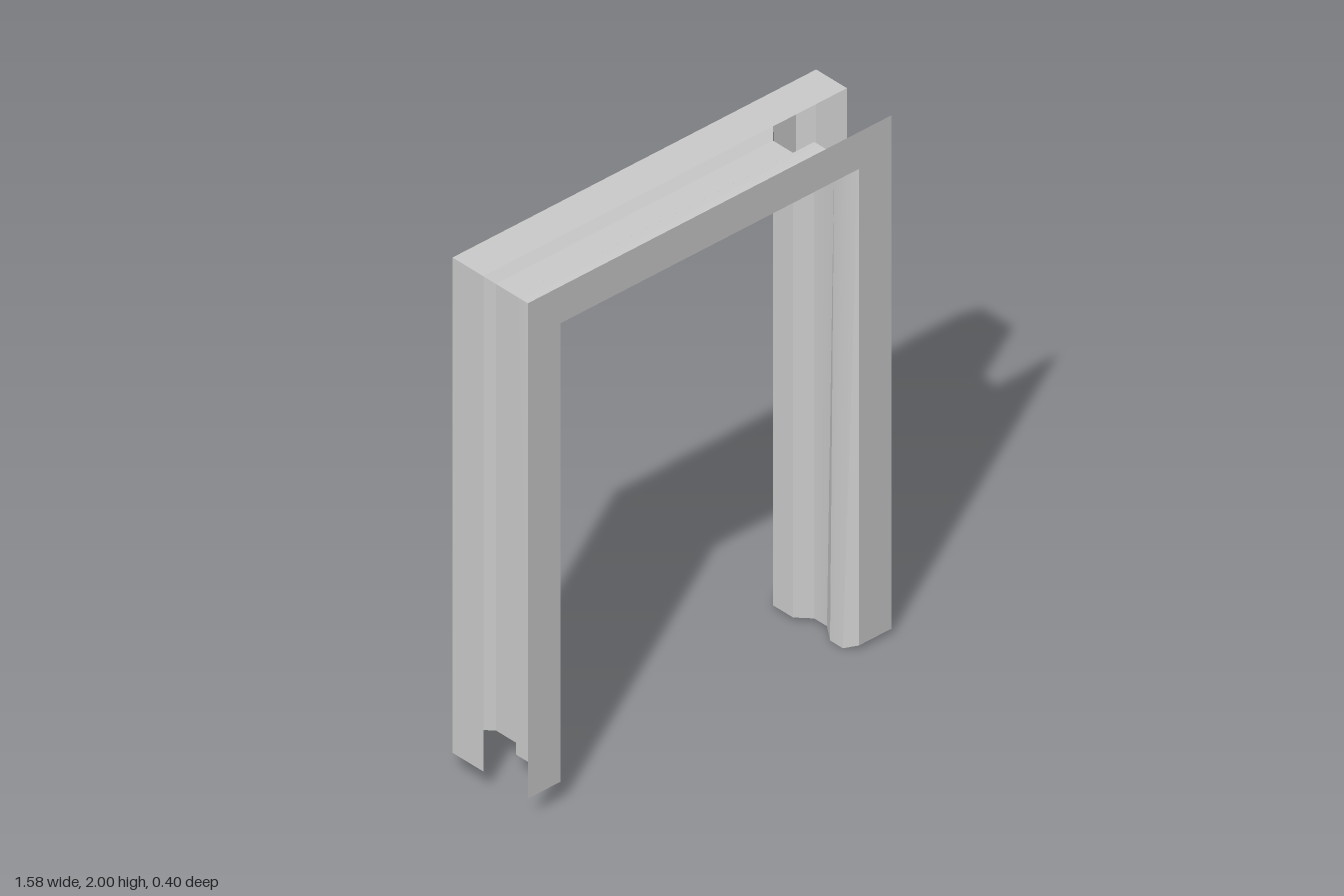
import * as THREE from 'three';
import { toCreasedNormals } from 'three/addons/utils/BufferGeometryUtils.js';

// Open sheet profile: [inset from outer edge, z, 1 where the shallow inner ridge lies]
const PROFILE = [
  [0, 0.2, 0], [0.142, 0.2, 0],              // front flange
  [0.152, 0.155, 1], [0.152, 0.095, 1],      // ridge in the reveal
  [0.142, 0.05, 0], [0.142, -0.01, 0],
  [0.188, -0.06, 0], [0.188, -0.155, 0],     // sloped stop
  [0.142, -0.2, 0], [0.045, -0.2, 0],        // chamfered back face
  [0, -0.155, 0], [0, -0.01, 0],             // outer return
];
const HALF = 0.79, TOP = 2;

// Profile point at the foot of a jamb, where the ridge swells inward and dips
const foot = (side, y) => ([u, z, ridge]) =>
  [side * (HALF - u - ridge * 0.018), y - ridge * 0.02, z];
// Profile point on the mitre of an upper corner
const mitre = (side) => ([u, z]) => [side * (HALF - u), TOP - u, z];

// Sheet joining two stations of the profile
function sweep(name, from, to, material) {
  const pos = [];
  for (let i = 0; i < PROFILE.length - 1; i++) {
    const a = from(PROFILE[i]), b = from(PROFILE[i + 1]);
    const c = to(PROFILE[i + 1]), d = to(PROFILE[i]);
    pos.push(...a, ...b, ...c, ...a, ...c, ...d);
  }
  const geo = new THREE.BufferGeometry();
  geo.setAttribute('position', new THREE.Float32BufferAttribute(pos, 3));
  const mesh = new THREE.Mesh(toCreasedNormals(geo, 0.3), material);
  mesh.name = name;
  return mesh;
}

export function createModel() {
  const group = new THREE.Group();
  group.name = 'doorFrame';
  const material = new THREE.MeshStandardMaterial({ color: 0xcccccc, side: THREE.DoubleSide });

  // Jambs end at different heights
  group.add(sweep('rightJamb', foot(-1, 0.09), mitre(-1), material));
  group.add(sweep('lintel', mitre(-1), mitre(1), material));
  group.add(sweep('leftJamb', mitre(1), foot(1, 0.02), material));
  return group;
}
